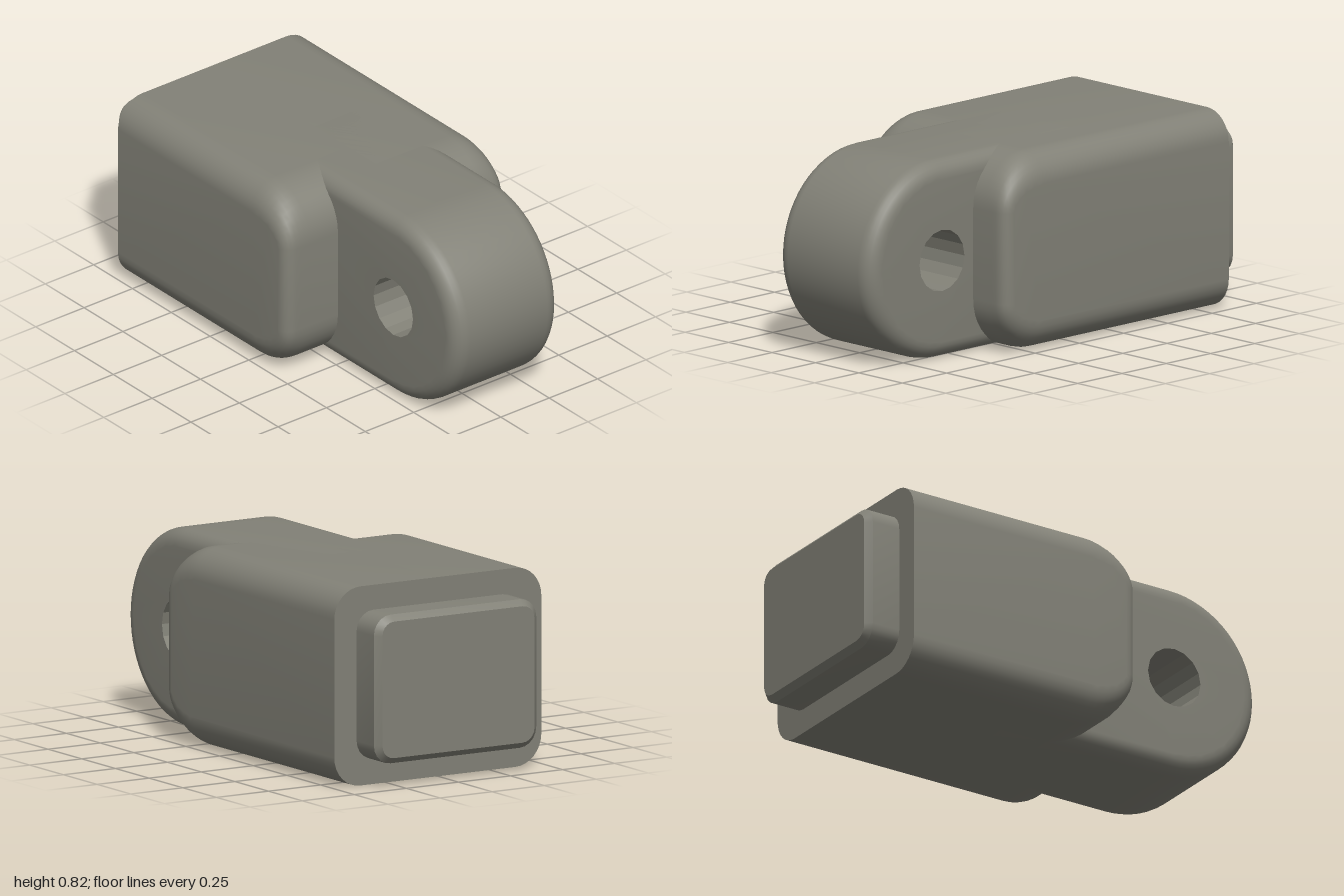
import * as THREE from 'three';
import { toCreasedNormals } from 'three/addons/utils/BufferGeometryUtils.js';

const H = 0.817, MID = H / 2;
const material = new THREE.MeshStandardMaterial({ color: 0x828177 });

// Inset of a rounded edge of radius r at distance d from the side face
const inset = (d, r) => (d >= r ? 0 : r - Math.sqrt(r * r - (r - d) ** 2));

// Points of an elliptical arc
function arc(cx, cy, rx, ry, from, to, n) {
  return Array.from({ length: n + 1 }, (_, i) => {
    const a = from + ((to - from) * i) / n;
    return new THREE.Vector2(cx + rx * Math.cos(a), cy + ry * Math.sin(a));
  });
}

// Joins side profiles (u = -z, v = y, counter-clockwise) placed at rising x, with flat caps
function loft(sections, hole = []) {
  const pos = [], index = [], n = sections[0].pts.length;
  for (const s of sections) for (const p of s.pts) pos.push(s.x, p.y, -p.x);
  for (let i = 0; i < sections.length - 1; i++) {
    for (let k = 0; k < n; k++) {
      const a = i * n + k, b = i * n + ((k + 1) % n);
      index.push(a, b, b + n, a, b + n, a + n);
    }
  }
  for (const [s, flip] of [[sections[0], true], [sections[sections.length - 1], false]]) {
    const base = pos.length / 3;
    const faces = THREE.ShapeUtils.triangulateShape(s.pts, hole.length ? [hole] : []);
    for (const p of [...s.pts, ...hole]) pos.push(s.x, p.y, -p.x);
    for (const [a, b, c] of faces) {
      index.push(base + a, base + (flip ? c : b), base + (flip ? b : c));
    }
  }
  const g = new THREE.BufferGeometry();
  g.setAttribute('position', new THREE.Float32BufferAttribute(pos, 3));
  g.setIndex(index);
  return toCreasedNormals(g.toNonIndexed(), 0.6);
}

// Distances from the side face, packed closely near the edge
const steps = (r, n = 8) =>
  Array.from({ length: n + 1 }, (_, i) => r * (1 - Math.cos((i / n) * Math.PI / 2)));

function add(group, geometry, name, mat = material) {
  const mesh = new THREE.Mesh(geometry, mat);
  mesh.name = name;
  group.add(mesh);
}

// Half of the body: square back, front corners rounded in side view
function bodyHalf(side, front) {
  const back = -0.847, half = 0.497, corner = 0.22, edge = 0.125;
  const sections = [...steps(edge), half].map((d) => {
    const dy = inset(d, edge), dz = inset(d, 0.05);
    const rz = corner - dz, ry = corner - dy, u = -(front - corner);
    return {
      x: side * (half - d),
      pts: [
        new THREE.Vector2(-back, dy),
        new THREE.Vector2(-back, H - dy),
        ...arc(u, H - corner, rz, ry, Math.PI / 2, Math.PI, 10),
        ...arc(u, corner, rz, ry, Math.PI, Math.PI * 1.5, 10),
      ],
    };
  });
  return loft(side > 0 ? sections.reverse() : sections);
}

export function createModel() {
  const group = new THREE.Group();
  add(group, bodyHalf(1, 0.415), 'bodyLeft');
  add(group, bodyHalf(-1, 0.235), 'bodyRight');

  // Hinge tongue with a round end and softened edges
  const x0 = -0.228, x1 = 0.312, pivot = 1 - MID, edge = 0.07, holeR = 0.127;
  const tongueAt = (x, d) => ({
    x,
    pts: [
      new THREE.Vector2(0.2, d),
      new THREE.Vector2(0.2, H - d),
      ...arc(-pivot, MID, MID - d, MID - d, Math.PI / 2, Math.PI * 1.5, 32),
    ],
  });
  const offsets = steps(edge, 6);
  const hole = arc(-pivot, MID, holeR, holeR, 0, Math.PI * 2, 16).slice(0, -1);
  add(group, loft([
    ...offsets.map((d) => tongueAt(x0 + d, inset(d, edge))),
    ...offsets.map((d) => tongueAt(x1 - d, inset(d, edge))).reverse(),
  ], hole), 'hingeTongue');

  // Faceted wall of the pin hole, seen from inside
  const wall = new THREE.CylinderGeometry(holeR, holeR, x1 - x0, 16, 1, true);
  wall.rotateX(Math.PI / 2).rotateY(Math.PI / 2).translate((x0 + x1) / 2, MID, pivot);
  const inside = material.clone();
  inside.side = THREE.DoubleSide;
  inside.flatShading = true;
  add(group, wall, 'pinHole', inside);

  // Chamfered plug at the back
  const w = 0.39, h = 0.305, r = 0.08, c = 0.025;
  const plugShape = new THREE.Shape([
    ...arc(w - r, h - r, r, r, 0, Math.PI / 2, 5),
    ...arc(r - w, h - r, r, r, Math.PI / 2, Math.PI, 5),
    ...arc(r - w, r - h, r, r, Math.PI, Math.PI * 1.5, 5),
    ...arc(w - r, r - h, r, r, Math.PI * 1.5, Math.PI * 2, 5),
  ]);
  const plug = new THREE.ExtrudeGeometry(plugShape, {
    depth: 0.2, bevelThickness: c, bevelSize: c, bevelOffset: -c, bevelSegments: 1,
  });
  plug.translate(0, 0.41, -1 + c);
  add(group, toCreasedNormals(plug, 0.6), 'backPlug');
  return group;
}
